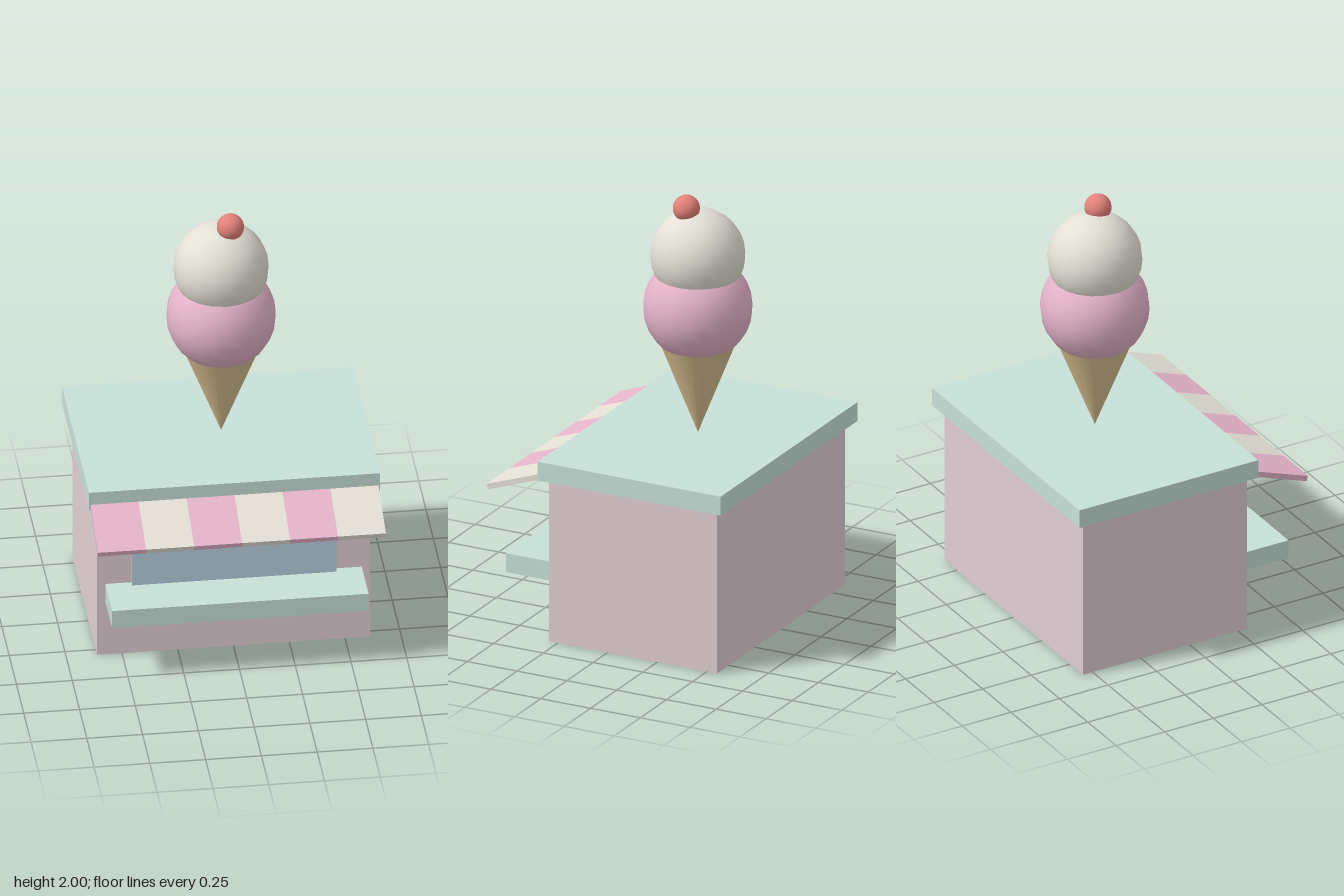
import * as THREE from 'three';

function mat(name, color) {
  const m = new THREE.MeshStandardMaterial({ color });
  m.name = name;
  return m;
}

export function createModel() {
  const group = new THREE.Group();
  const blush = mat('blush wall', 0xe0ced3);
  const mint = mat('mint', 0xc7e0d7);
  const pink = mat('strawberry pink', 0xe5b4c9);
  const cream = mat('cream', 0xe4e0d6);
  const glass = mat('window blue', 0xb8cfde);
  const wafer = mat('wafer', 0xd8bf90);
  const cherryRed = mat('cherry red', 0xe2827a);

  const add = (name, geometry, material, x, y, z, parent = group) => {
    const mesh = new THREE.Mesh(geometry, material);
    mesh.name = name;
    mesh.position.set(x, y, z);
    parent.add(mesh);
    return mesh;
  };
  // Box given by its half width and its y and z limits
  const slab = (name, material, halfX, y0, y1, z0, z1) =>
    add(name, new THREE.BoxGeometry(halfX * 2, y1 - y0, z1 - z0), material, 0, (y0 + y1) / 2, (z0 + z1) / 2);

  // Kiosk
  slab('body', blush, 0.612, 0, 0.775, -0.55, 0.295);
  slab('roof', mint, 0.653, 0.775, 0.865, -0.59, 0.33);
  slab('servingWindow', glass, 0.458, 0.365, 0.73, 0.295, 0.323);
  slab('signBoard', cream, 0.458, 0.557, 0.757, 0.32, 0.35);
  slab('counter', mint, 0.575, 0.275, 0.365, 0.295, 0.53);

  // Sloping awning of six stripes, hinged under the roof edge
  const awning = new THREE.Group();
  awning.name = 'awning';
  awning.position.set(0, 0.806, 0.32);
  awning.rotation.x = 0.345;
  group.add(awning);
  const stripe = 0.215;
  for (let i = 0; i < 6; i++) {
    add('awningStripe', new THREE.BoxGeometry(stripe, 0.026, 0.287), i % 2 ? cream : pink,
      (i - 2.5) * stripe, -0.013, 0.1435, awning);
  }

  // Rooftop ice cream
  const z = -0.132;
  const cone = add('cone', new THREE.ConeGeometry(0.185, 0.47, 20), wafer, 0, 0.865 + 0.235, z);
  cone.rotation.x = Math.PI;
  const ball = (name, material, r, x, y, bz) =>
    add(name, new THREE.SphereGeometry(r, 20, 14), material, x, y, bz);
  ball('lowerScoop', pink, 0.245, 0, 1.465, z);
  ball('upperScoop', cream, 0.213, 0, 1.712, z);
  ball('cherry', cherryRed, 0.061, 0.037, 1.939, -0.094);

  return group;
}
